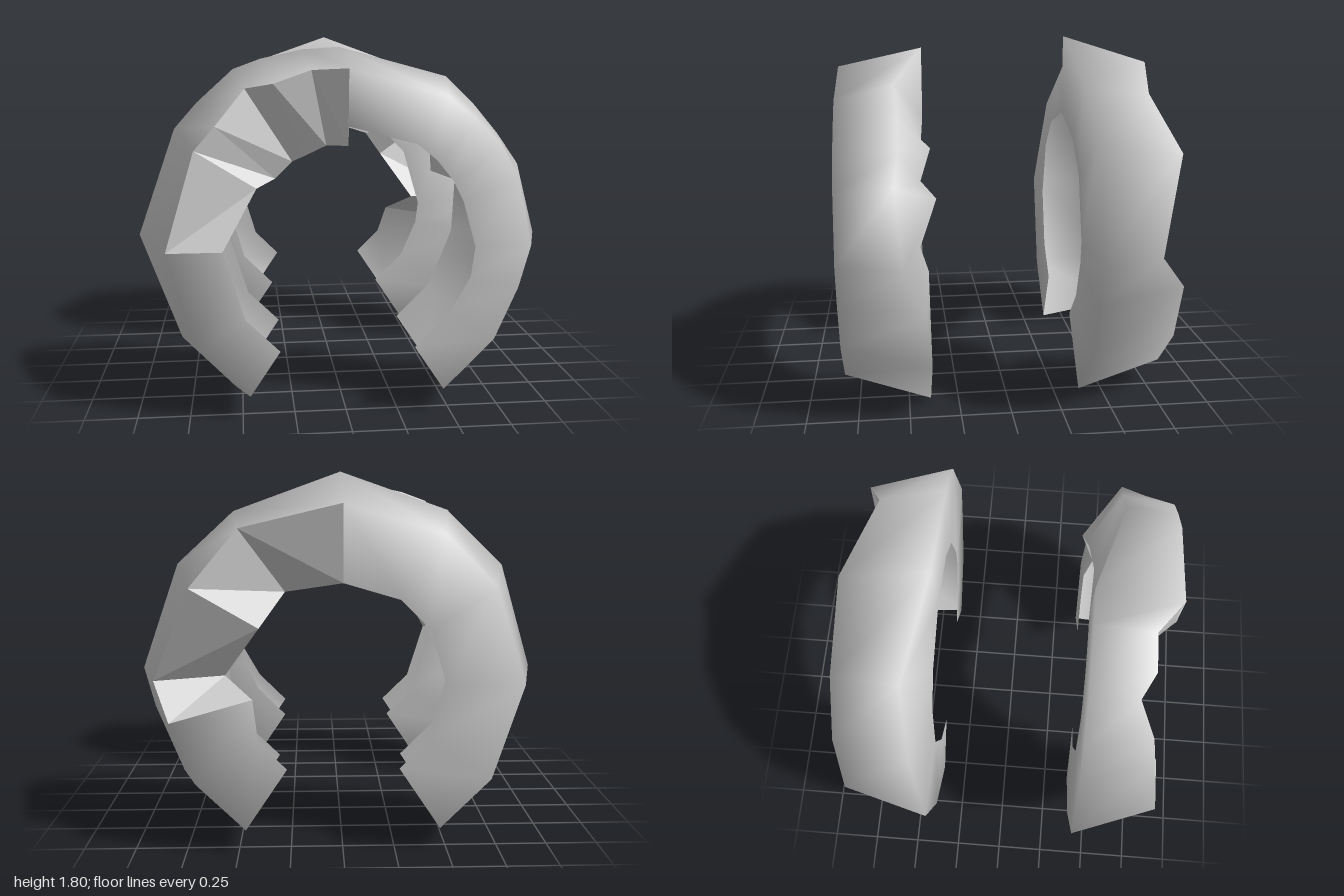
import * as THREE from 'three';
import { toCreasedNormals } from 'three/addons/utils/BufferGeometryUtils.js';

const CENTRE_Y = 0.82;

// Flat list of quads -> geometry
function quadGeometry(quads) {
  const pos = [];
  for (const [a, b, c, d] of quads) {
    for (const p of [a, b, c, a, c, d]) pos.push(p.x, p.y, p.z);
  }
  const g = new THREE.BufferGeometry();
  g.setAttribute('position', new THREE.Float32BufferAttribute(pos, 3));
  g.computeVertexNormals();
  return g;
}

// Hollow channel (front wall, tread, back wall) open at the bore and both ends.
// Each section is an angle in degrees plus [radius, z] overrides for the front
// inner, front outer, back outer and back inner corners; torn facets stay flat.
function brokenRing(name, defaults, table) {
  const sections = table.map(([deg, overrides]) => {
    const { fi, fo, bo, bi, torn } = { ...defaults, ...overrides };
    const t = THREE.MathUtils.degToRad(deg);
    const corners = [fi, fo, bo, bi].map(([r, z]) =>
      new THREE.Vector3(r * Math.cos(t), CENTRE_Y + r * Math.sin(t), z));
    return { corners, torn };
  });
  const ring = new THREE.Group();
  ring.name = name;
  const shell = [], facets = [];
  for (let j = 0; j < sections.length - 1; j++) {
    const s = sections[j], n = sections[j + 1];
    for (let k = 0; k < 3; k++) {
      const quad = [s.corners[k], s.corners[k + 1], n.corners[k + 1], n.corners[k]];
      (k === 0 && s.torn ? facets : shell).push(quad);
    }
  }
  const add = (part, geometry, flatShading) => {
    const mesh = new THREE.Mesh(geometry, new THREE.MeshStandardMaterial({
      color: 0xcccccc, flatShading, side: THREE.DoubleSide }));
    mesh.name = part;
    ring.add(mesh);
  };
  add('ringShell', toCreasedNormals(quadGeometry(shell), 2.1), false);
  add('tornFacets', quadGeometry(facets), true);
  return ring;
}

export function createModel() {
  const model = new THREE.Group();

  // Front ring: chipped front at upper -x, chipped back edge at +x
  model.add(brokenRing('frontRing',
    { fi: [0.58, 0.825], fo: [0.84, 0.825], bo: [0.97, 0.39], bi: [0.56, 0.39] }, [
      [-56.5, { bo: [0.98, 0.39] }],
      [-33],
      [-14, { fi: [0.6, 0.825], bo: [0.96, 0.42] }],
      [0, { fi: [0.6, 0.825], fo: [0.87, 0.825], bo: [0.98, 0.52], bi: [0.58, 0.43] }],
      [22, { fo: [0.86, 0.825], bo: [0.945, 0.55], bi: [0.66, 0.35] }],
      [33, { fo: [0.86, 0.825], bo: [0.925, 0.53], bi: [0.56, 0.42] }],
      [45, { bo: [0.92, 0.53], bi: [0.66, 0.37] }],
      [57, { bo: [0.935, 0.54], bi: [0.56, 0.41] }],
      [90, { fi: [0.57, 0.825], fo: [0.83, 0.825], bo: [0.925, 0.39] }],
      [90, { fi: [0.48, 0.8], fo: [0.83, 0.825], bo: [0.925, 0.39], torn: true }],
      [101, { fi: [0.48, 0.7], fo: [0.835, 0.7], bo: [0.93, 0.39], torn: true }],
      [114, { fi: [0.46, 0.66], fo: [0.83, 0.71], bo: [0.95, 0.39], torn: true }],
      [122.5, { fi: [0.46, 0.62], fo: [0.87, 0.64], torn: true }],
      [137, { fi: [0.45, 0.62], fo: [0.83, 0.73], bo: [0.96, 0.39], torn: true }],
      [147, { fi: [0.5, 0.7], fo: [0.84, 0.75], torn: true }],
      [180, { bo: [1, 0.39] }],
      [214],
      [236.5, { bo: [0.98, 0.39] }],
    ]));

  // Back ring: turned to face backwards, narrower bore, larger chips
  const backRing = brokenRing('backRing',
    { fi: [0.48, 0.825], fo: [0.84, 0.825], bo: [0.97, 0.38], bi: [0.57, 0.37] }, [
      [-56.5],
      [-33],
      [0, { fo: [0.85, 0.825] }],
      [33, { bo: [0.96, 0.43] }],
      [57, { bo: [0.95, 0.48] }],
      [90, { bo: [0.98, 0.37], torn: true }],
      [124, { fi: [0.49, 0.55], fo: [0.87, 0.71], bo: [0.95, 0.37], torn: true }],
      [147, { fi: [0.47, 0.73], torn: true }],
      [180, { fi: [0.57, 0.58], fo: [0.9, 0.69], bo: [1, 0.38], torn: true }],
      [192, { fi: [0.44, 0.71], fo: [0.83, 0.825] }],
      [214, { bo: [0.98, 0.38] }],
      [236.5],
    ]);
  backRing.rotation.y = Math.PI;
  model.add(backRing);

  return model;
}
